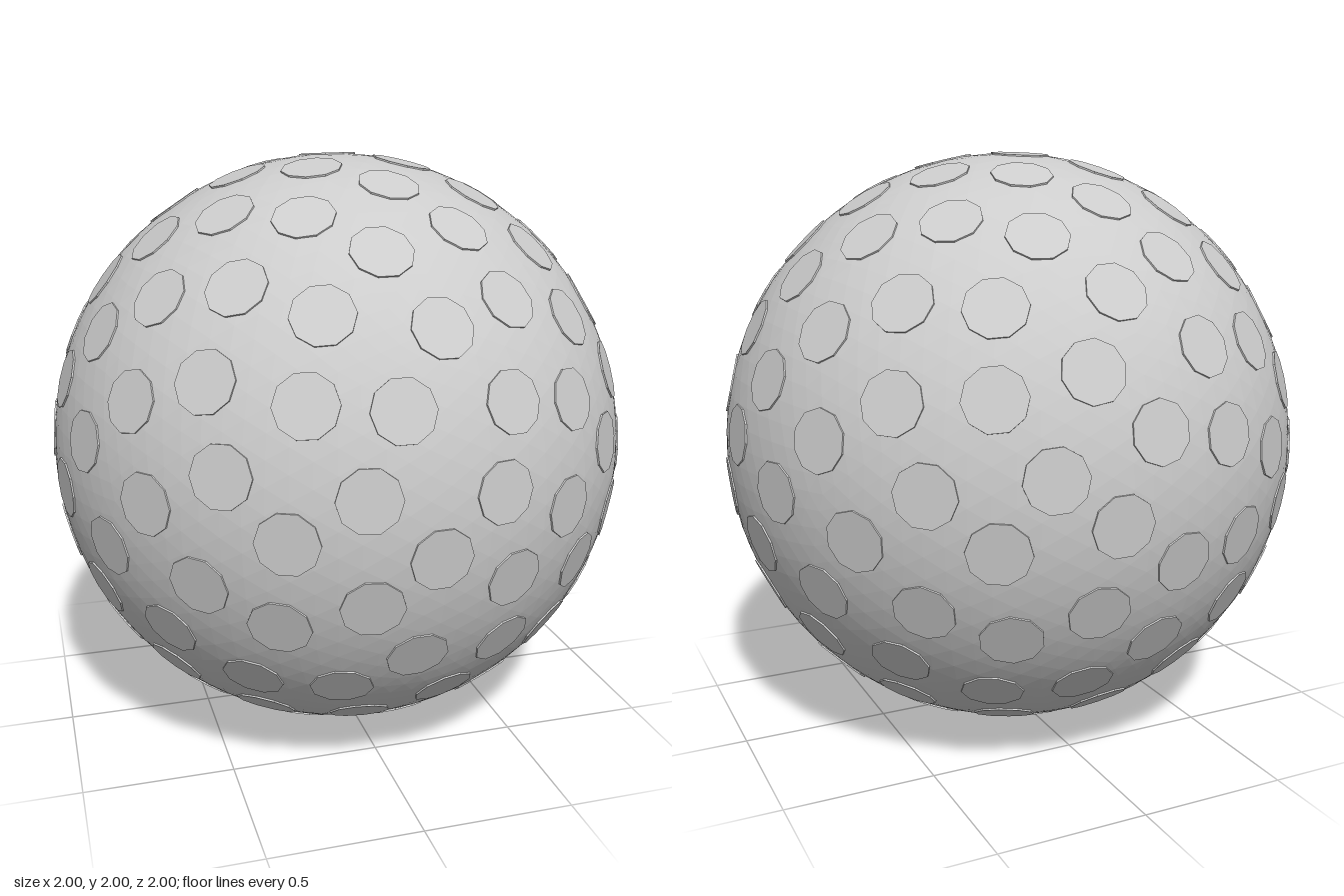
import * as THREE from 'three';
import { mergeGeometries } from 'three/addons/utils/BufferGeometryUtils.js';

const BALL_RADIUS = 0.995;
const DISC_COUNT = 150;
const DISC_RADIUS = 0.1;
const DISC_SIDES = 10;
const DISC_TOP = 0.995; // distance of the flat disc faces from the ball centre
const DISC_THICKNESS = 0.01;

// Evenly spread directions on a spiral whose pole faces the front
function spiralDirection(i) {
  const t = i + 0.5;
  const polar = Math.acos(1 - (2 * t) / DISC_COUNT);
  const turn = Math.PI * (1 + Math.sqrt(5)) * t;
  return new THREE.Vector3(
    Math.cos(turn) * Math.sin(polar),
    Math.sin(turn) * Math.sin(polar),
    Math.cos(polar)
  );
}

// Copies a shape, whose axis is z, to every spiral direction
function scatter(shape) {
  const axis = new THREE.Vector3(0, 0, 1);
  const copies = [];
  for (let i = 0; i < DISC_COUNT; i++) {
    const turn = new THREE.Quaternion().setFromUnitVectors(axis, spiralDirection(i));
    copies.push(shape.clone().applyQuaternion(turn));
  }
  return mergeGeometries(copies);
}

export function createModel() {
  const model = new THREE.Group();
  model.name = 'dimpledBall';

  const shell = new THREE.MeshStandardMaterial({ name: 'light grey', color: 0xcccccc, flatShading: true });

  const add = (name, geometry) => {
    const mesh = new THREE.Mesh(geometry, shell);
    mesh.name = name;
    mesh.position.y = 1;
    model.add(mesh);
  };

  // Faceted ball
  add('ball', new THREE.IcosahedronGeometry(BALL_RADIUS, 15));

  // Thin round spots, nearly flush with the ball
  const disc = new THREE.CylinderGeometry(DISC_RADIUS, DISC_RADIUS, DISC_THICKNESS, DISC_SIDES)
    .rotateX(Math.PI / 2)
    .rotateZ(Math.PI / 2)
    .translate(0, 0, DISC_TOP - DISC_THICKNESS / 2);
  add('spots', scatter(disc));

  return model;
}
